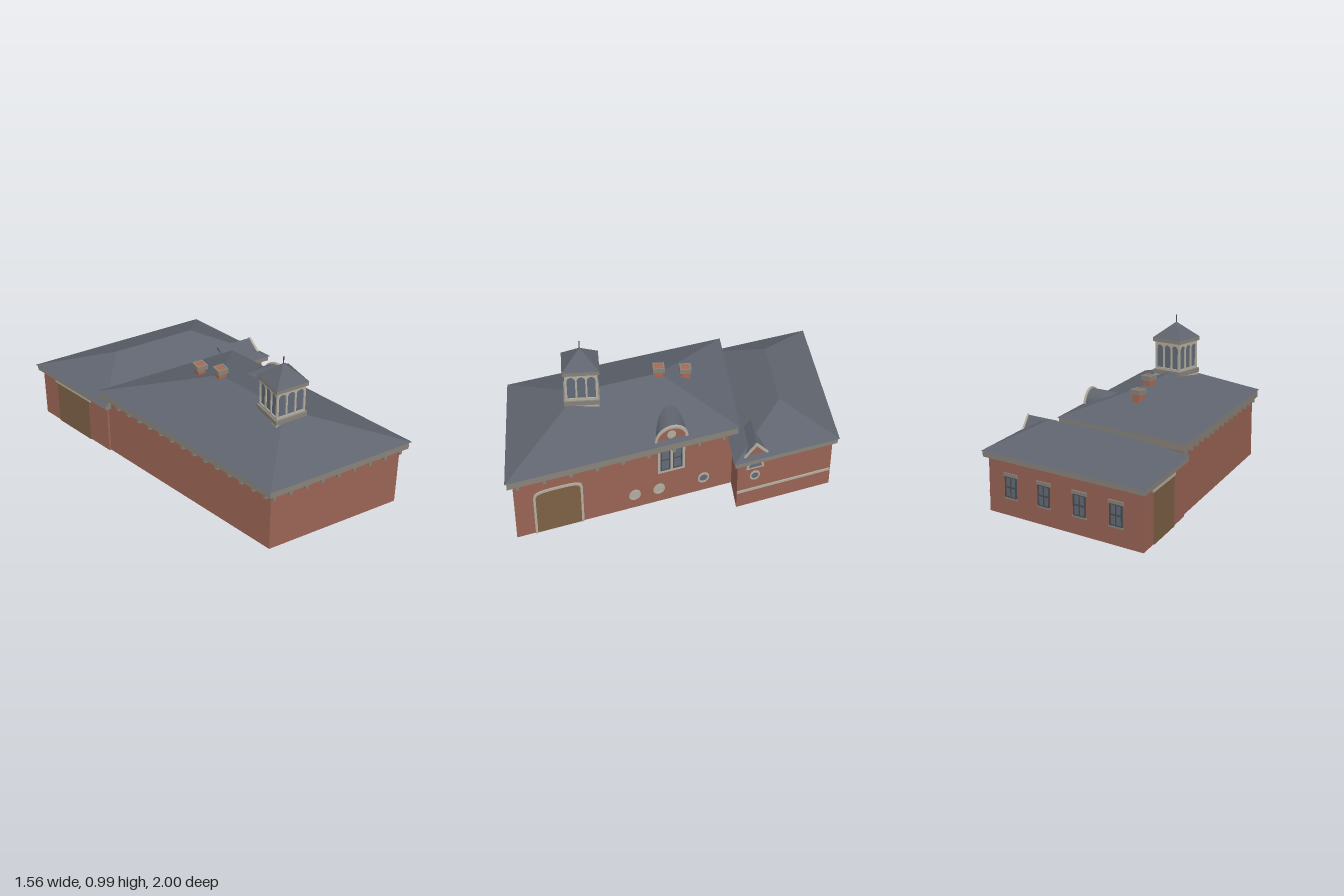
import * as THREE from 'three';

const mat = (name, color) => {
  const m = new THREE.MeshStandardMaterial({ color });
  m.name = name;
  return m;
};

const SKEW = 0.29; // x shift per unit of z: the plan is a parallelogram

export function createModel() {
  const brick = mat('brick', 0x9a6455);
  const chimneyBrick = mat('chimneyBrick', 0xaa6851);
  const slate = mat('slate', 0x5f646e);
  const stone = mat('stone', 0x88837a);
  const trim = mat('paleTrim', 0xb3ada0);
  const glass = mat('glass', 0x636b78);
  const sash = mat('darkSash', 0x4b4d52);
  const wood = mat('doorWood', 0x7c6045);

  const model = new THREE.Group();
  model.name = 'brickStable';
  const add = (name, geo, material, matrix, parent = model) => {
    if (matrix) geo.applyMatrix4(matrix);
    const mesh = new THREE.Mesh(geo, material);
    mesh.name = name;
    parent.add(mesh);
    return mesh;
  };

  // Wall frames: local x runs along the wall, y is up, z points outward
  const V = (x, y, z) => new THREE.Vector3(x, y, z);
  const frame = (X, Z, origin) => new THREE.Matrix4().makeBasis(X, V(0, 1, 0), Z).setPosition(origin);
  const rightWall = x => frame(V(-SKEW, 0, -1), V(1, 0, 0), V(x, 0, 0)); // local x = -z
  const leftWall = x => frame(V(SKEW, 0, 1), V(-1, 0, 0), V(x, 0, 0)); // local x = z
  const mainRight = rightWall(0.447), wingRight = rightWall(0.68);
  const mainLeft = leftWall(-0.448), wingLeft = leftWall(-0.46);
  const front = frame(V(1, 0, 0), V(0, 0, 1), V(0, 0, 0.96));
  const back = frame(V(-1, 0, 0), V(0, 0, -1), V(0, 0, -0.965));

  // Shape helpers
  const arch = (w, h, rise, k = 0.55, x = 0, y = 0, T = THREE.Shape) => {
    const s = new T(), r = w / 2, spring = y + h - rise, top = y + h;
    s.moveTo(x - r, y);
    s.lineTo(x - r, spring);
    s.bezierCurveTo(x - r, spring + k * rise, x - r * k, top, x, top);
    s.bezierCurveTo(x + r * k, top, x + r, spring + k * rise, x + r, spring);
    s.lineTo(x + r, y);
    s.closePath();
    return s;
  };
  const rectangle = (w, h, x = 0, y = 0, T = THREE.Shape) => new T([
    [x - w / 2, y], [x + w / 2, y], [x + w / 2, y + h], [x - w / 2, y + h], [x - w / 2, y],
  ].map(p => new THREE.Vector2(...p)));
  const circle = (r, T = THREE.Shape) => new T().absarc(0, 0, r, 0, Math.PI * 2);
  const extrude = (shape, depth, x = 0, y = 0, z = 0) =>
    new THREE.ExtrudeGeometry(shape, { depth, bevelEnabled: false, curveSegments: 10 }).translate(x, y, z);
  const box = (w, h, d, x, y, z) => new THREE.BoxGeometry(w, h, d).translate(x, y, z);
  const withHoles = (shape, ...holes) => { shape.holes.push(...holes); return shape; };

  // Skewed plan between two depths, extruded upward
  const block = (xL, xR, z0, z1, y0, y1) => {
    const s = new THREE.Shape([[xL, z1], [xR, z1], [xR, z0], [xL, z0]]
      .map(([x, z]) => new THREE.Vector2(x + SKEW * z, -z)));
    return extrude(s, y1 - y0).rotateX(-Math.PI / 2).translate(0, y0, 0);
  };
  const facets = polygons => {
    const p = [];
    for (const f of polygons)
      for (let i = 1; i < f.length - 1; i++) p.push(...f[0], ...f[i], ...f[i + 1]);
    const g = new THREE.BufferGeometry();
    g.setAttribute('position', new THREE.Float32BufferAttribute(p, 3));
    g.computeVertexNormals();
    return g;
  };
  const hipRoof = (xL, xR, z0, z1, y, A, B, ridgeAlongX) => {
    const c = (x, z) => [x + SKEW * z, y, z];
    const FL = c(xL, z1), FR = c(xR, z1), BR = c(xR, z0), BL = c(xL, z0);
    const slopes = ridgeAlongX // A, B = left and right ridge ends, else front and back ends
      ? [[FL, FR, B, A], [FR, BR, B], [BR, BL, A, B], [BL, FL, A]]
      : [[FL, FR, A], [FR, BR, B, A], [BR, BL, B], [BL, FL, A, B]];
    return facets([...slopes, [FL, BL, BR, FR]]);
  };

  // Main hall and rear wing
  add('mainWalls', block(-0.448, 0.447, -0.375, 0.96, 0, 0.41), brick);
  add('mainCornice', block(-0.48, 0.48, -0.39, 0.99, 0.4, 0.449), stone);
  add('mainRoof', hipRoof(-0.49, 0.49, -0.4, 1, 0.45, [0.162, 0.63, 0.56], [0.017, 0.63, 0.06], false), slate);
  add('wingWalls', block(-0.46, 0.68, -0.965, -0.36, 0, 0.34), brick);
  add('wingCornice', block(-0.482, 0.712, -0.99, -0.34, 0.33, 0.364), stone);
  add('wingRoof', hipRoof(-0.49, 0.72, -1, -0.33, 0.365, [-0.35, 0.52, -0.66], [0.2, 0.52, -0.66], true), slate);

  // Cornice brackets
  const brackets = (wall, count, from, to) => {
    for (let i = 0; i < count; i++)
      add('corniceBracket', box(0.018, 0.03, 0.024, from + (to - from) * i / (count - 1), 0.386, 0.012), stone, wall);
  };
  brackets(front, 9, -0.16, 0.715);
  brackets(mainRight, 9, -0.93, 0.3);
  brackets(mainLeft, 15, -0.34, 0.94);

  // Carriage door on the right
  add('carriageDoor', extrude(arch(0.27, 0.3, 0.045, 0.85), 0.004, -0.705), wood, mainRight);
  add('carriageDoorFrame', extrude(withHoles(arch(0.29, 0.312, 0.05, 0.85),
    arch(0.262, 0.297, 0.043, 0.85, 0, 0.0005, THREE.Path)), 0.009, -0.705), trim, mainRight);

  // Round windows and blind roundels
  const roundel = (wall, x, y, r, filling) => {
    add('roundelFrame', extrude(withHoles(circle(r), circle(r * 0.7, THREE.Path)), 0.008, x, y), trim, wall);
    add('roundelPanel', extrude(circle(r * 0.75), 0.004, x, y), filling, wall);
  };
  roundel(mainRight, -0.25, 0.1, 0.036, trim);
  roundel(mainRight, -0.1, 0.1, 0.036, trim);
  roundel(mainRight, 0.18, 0.1, 0.036, glass);
  roundel(wingRight, 0.47, 0.22, 0.032, glass);

  // Double window under the round dormer
  const wx = -0.023;
  add('doubleWindowGlass', extrude(rectangle(0.16, 0.175), 0.003, wx, 0.223), glass, mainRight);
  add('doubleWindowFrame', extrude(withHoles(rectangle(0.168, 0.182),
    rectangle(0.06, 0.157, -0.038, 0.014, THREE.Path), rectangle(0.06, 0.157, 0.038, 0.014, THREE.Path)),
    0.009, wx, 0.22), trim, mainRight);
  for (const s of [-1, 1])
    add('doubleWindowSash', extrude(withHoles(rectangle(0.06, 0.157),
      rectangle(0.044, 0.068, 0, 0.007, THREE.Path), rectangle(0.044, 0.068, 0, 0.082, THREE.Path)),
      0.006, wx + s * 0.038, 0.234), sash, mainRight);

  // Round dormer
  add('roundDormerRoof', extrude(arch(0.19, 0.1, 0.09), 0.28, wx, 0.445, -0.28), slate, mainRight);
  add('roundDormerFace', extrude(arch(0.185, 0.097, 0.088), 0.004, wx, 0.445), brick, mainRight);
  add('roundDormerTrim', extrude(withHoles(arch(0.206, 0.11, 0.098),
    arch(0.172, 0.083, 0.075, 0.55, 0, 0.012, THREE.Path)), 0.016, wx, 0.445, -0.004), trim, mainRight);
  add('roundDormerRoundel', extrude(circle(0.027), 0.008, wx, 0.495), trim, mainRight);

  // Gabled dormer on the wing
  const gable = (w, h, T = THREE.Shape, y = 0) => new T([[-w / 2, y], [w / 2, y], [0, y + h], [-w / 2, y]]
    .map(p => new THREE.Vector2(...p)));
  add('gableDormerRoof', extrude(gable(0.165, 0.086), 0.24, 0.472, 0.37, -0.24), slate, wingRight);
  add('gableDormerFace', extrude(gable(0.15, 0.078), 0.004, 0.472, 0.37), brick, wingRight);
  add('gableDormerTrim', extrude(withHoles(gable(0.172, 0.092), gable(0.128, 0.067, THREE.Path, 0.007)),
    0.014, 0.472, 0.37, -0.002), trim, wingRight);

  // Lunette and string course on the wing
  add('lunetteGlass', extrude(arch(0.095, 0.048, 0.045), 0.004, 0.47, 0.282), glass, wingRight);
  add('lunetteFrame', extrude(withHoles(arch(0.112, 0.058, 0.052),
    arch(0.082, 0.036, 0.033, 0.55, 0, 0.011, THREE.Path)), 0.008, 0.47, 0.276), trim, wingRight);
  add('stringCourse', box(0.6, 0.015, 0.008, 0.662, 0.116, 0.004), trim, wingRight);

  // Wide side door on the wing
  add('sideDoor', box(0.3, 0.3, 0.006, -0.675, 0.15, 0.003), wood, wingLeft);
  add('sideDoorLintel', box(0.33, 0.028, 0.009, -0.675, 0.314, 0.0045), trim, wingLeft);

  // Rear sash windows
  for (const x of [-0.225, 0.03, 0.295, 0.555]) {
    add('rearWindowGlass', extrude(rectangle(0.084, 0.125), 0.003, x, 0.113), glass, back);
    add('rearWindowSash', extrude(withHoles(rectangle(0.09, 0.13),
      ...[-0.0195, 0.0195].flatMap(u => [0.009, 0.07].map(v => rectangle(0.032, 0.051, u, v, THREE.Path)))),
      0.007, x, 0.11), sash, back);
    add('rearWindowLintel', box(0.106, 0.02, 0.009, x, 0.247, 0.0045), stone, back);
    add('rearWindowSill', box(0.1, 0.01, 0.009, x, 0.107, 0.0045), stone, back);
  }

  // Chimneys with hollow caps
  for (const [x, z, top] of [[0.018, 0.062, 0.685], [-0.032, -0.108, 0.635]]) {
    add('chimneyShaft', box(0.052, 0.2, 0.052, x, top - 0.103, z), chimneyBrick);
    add('chimneyCap', extrude(withHoles(rectangle(0.072, 0.072, 0, -0.036),
      rectangle(0.05, 0.05, 0, -0.025, THREE.Path)), 0.03).rotateX(-Math.PI / 2).translate(x, top - 0.03, z), stone);
  }

  // Cupola
  const cupola = new THREE.Group();
  cupola.name = 'cupola';
  cupola.position.set(0.159, 0, 0.538);
  model.add(cupola);
  const part = (name, geo, material) => add(name, geo, material, null, cupola);
  part('cupolaPlinth', box(0.206, 0.06, 0.206, 0, 0.572, 0), trim);
  part('cupolaBaseMoulding', box(0.215, 0.03, 0.215, 0, 0.615, 0), stone);
  part('cupolaGlass', box(0.178, 0.18, 0.178, 0, 0.72, 0), glass);
  for (let i = 0; i < 4; i++) {
    const arcade = withHoles(rectangle(0.196, 0.19, 0, 0.628),
      ...[-0.06, 0, 0.06].map(x => arch(0.049, 0.15, 0.025, 0.55, x, 0.645, THREE.Path)));
    part('cupolaArcade', extrude(arcade, 0.008, 0, 0, 0.09).rotateY(i * Math.PI / 2), trim);
  }
  part('cupolaCornice', box(0.218, 0.024, 0.218, 0, 0.826, 0), stone);
  part('cupolaRoof', new THREE.ConeGeometry(0.111 * Math.SQRT2, 0.102, 4).toNonIndexed()
    .rotateY(Math.PI / 4).translate(0, 0.889, 0), slate);
  cupola.children.at(-1).geometry.computeVertexNormals();
  part('cupolaFinial', new THREE.CylinderGeometry(0.003, 0.004, 0.055, 8).translate(0, 0.958, 0), sash);

  return model;
}
